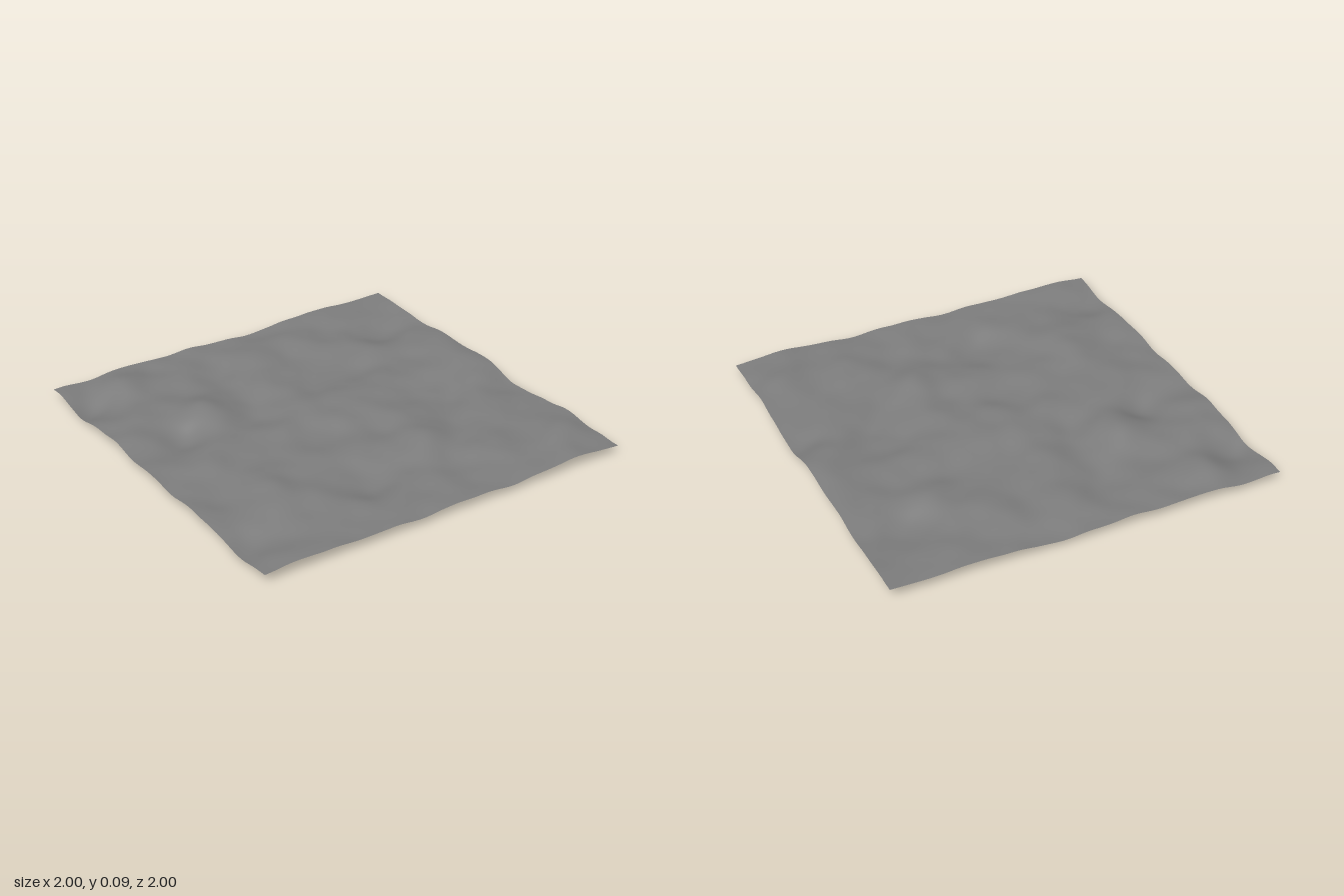
import * as THREE from 'three';

const SIZE = 2, SEGMENTS = 100, HEIGHT = 0.088;

// Seeded gradient direction for a lattice corner
function cornerAngle(i, j) {
  let h = Math.imul(i + 101, 374761393) ^ Math.imul(j + 57, 668265263);
  h = Math.imul(h ^ (h >>> 13), 1274126177);
  return (((h ^ (h >>> 16)) >>> 0) / 4294967296) * Math.PI * 2;
}

// Smooth gradient noise, roughly -0.7 to 0.7
function noise(x, z) {
  const i = Math.floor(x), j = Math.floor(z), u = x - i, v = z - j;
  const fade = t => t * t * t * (t * (t * 6 - 15) + 10);
  const dot = (a, b) => {
    const angle = cornerAngle(i + a, j + b);
    return Math.cos(angle) * (u - a) + Math.sin(angle) * (v - b);
  };
  const { lerp } = THREE.MathUtils;
  return lerp(lerp(dot(0, 0), dot(1, 0), fade(u)), lerp(dot(0, 1), dot(1, 1), fade(u)), fade(v));
}

// Main hollows (negative) and crests (positive): x, z, strength
const swells = [
  [-0.91, -0.75, -0.42], [-0.9, 0.72, -0.36], [-0.18, 0.66, -0.4], [0.07, 0.66, -0.2],
  [0.6, 0.2, -0.4], [0.77, -0.65, -0.36], [-0.72, -0.2, -0.34], [-0.33, -0.18, -0.2],
  [-0.2, -0.7, -0.22], [0.3, 0.72, -0.15], [0.66, -0.25, -0.15], [0.96, 0.2, -0.25],
  [-0.7, -0.84, 0.36], [-0.5, -0.35, 0.36], [0.23, 0.48, 0.4], [-0.6, 0.42, 0.3],
  [0.6, -0.42, 0.2], [0.3, -0.8, 0.3], [0.9, 0, 0.25], [0.82, 0.75, 0.2], [0, 0.05, 0.2],
];

function relief(x, z) {
  // Ripples run slightly longer along the x = -z diagonal
  const along = (x - z) * Math.SQRT1_2, across = (x + z) * Math.SQRT1_2;
  let h = 0.36 * noise(along * 3 + 9, across * 3.8 + 5) + 0.12 * noise(along * 6 + 31, across * 7 + 17);
  for (const [cx, cz, strength] of swells) {
    const a = along - (cx - cz) * Math.SQRT1_2, b = across - (cx + cz) * Math.SQRT1_2;
    h += strength * Math.exp(-a * a / 0.022 - b * b / 0.013);
  }
  return h;
}

export function createModel() {
  const group = new THREE.Group();

  // Thin rippled ground sheet, its lowest hollow touching y = 0
  const geometry = new THREE.PlaneGeometry(SIZE, SIZE, SEGMENTS, SEGMENTS).rotateX(-Math.PI / 2);
  const position = geometry.attributes.position;
  const heights = Array.from({ length: position.count }, (_, i) => relief(position.getX(i), position.getZ(i)));
  const low = heights.reduce((a, b) => Math.min(a, b));
  const high = heights.reduce((a, b) => Math.max(a, b));
  heights.forEach((h, i) => position.setY(i, HEIGHT * (h - low) / (high - low)));
  geometry.computeVertexNormals();

  const ground = new THREE.Mesh(
    geometry,
    new THREE.MeshStandardMaterial({ color: 0x7c7c7c, side: THREE.DoubleSide })
  );
  ground.name = 'rippledGround';
  group.add(ground);
  return group;
}
